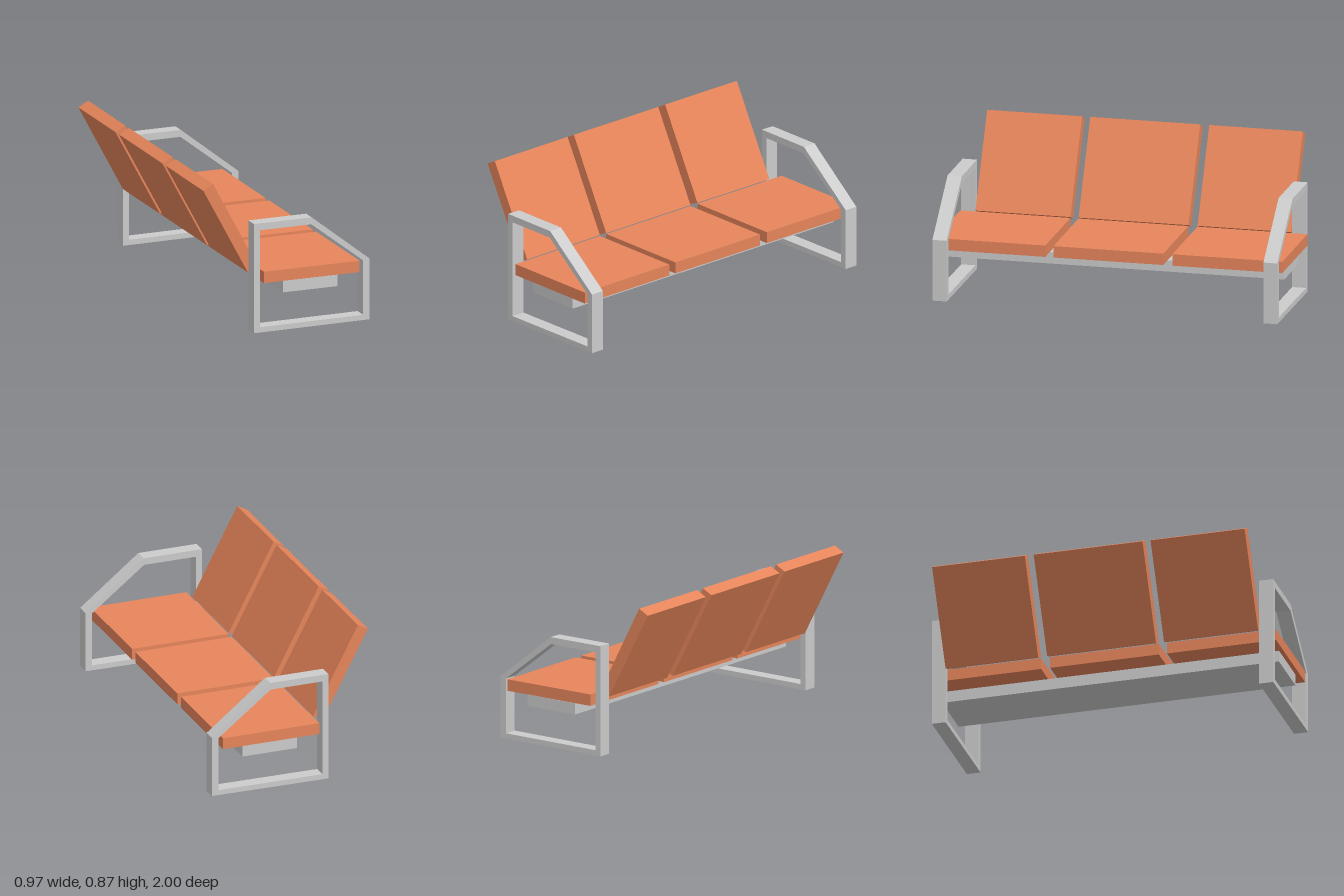
import * as THREE from 'three';

const grey = new THREE.MeshStandardMaterial({ color: 0xcccccc, flatShading: true });
const orange = new THREE.MeshStandardMaterial({ color: 0xe6855b, flatShading: true });

const points = (list) => list.map(([x, y]) => new THREE.Vector2(x, y));

// Extrudes an x/y outline, with an optional hole, from z0 to z1
function slab(name, material, z0, z1, outline, hole) {
  const shape = new THREE.Shape(points(outline));
  if (hole) shape.holes.push(new THREE.Path(points(hole)));
  const geometry = new THREE.ExtrudeGeometry(shape, { depth: z1 - z0, bevelEnabled: false });
  geometry.translate(0, 0, z0);
  const mesh = new THREE.Mesh(geometry, material);
  mesh.name = name;
  return mesh;
}

const rect = (x0, y0, x1, y1) => [[x0, y0], [x1, y0], [x1, y1], [x0, y1]];

export function createModel() {
  const bench = new THREE.Group();
  bench.name = 'bench';

  // End frames: closed loops with a sloping arm
  const frameOuter = [[-0.215, 0], [0.485, 0.004], [0.485, 0.357], [0.135, 0.635], [-0.215, 0.635]];
  const frameInner = [[-0.179, 0.031], [0.446, 0.034], [0.446, 0.35], [0.132, 0.595], [-0.179, 0.595]];
  bench.add(slab('leftEndFrame', grey, 0.918, 1, frameOuter, frameInner));
  bench.add(slab('rightEndFrame', grey, -0.986, -0.906, frameOuter, frameInner));

  // Beam under the seats
  bench.add(slab('supportBeam', grey, -0.98, 0.98, rect(-0.03, 0.212, 0.3, 0.278)));

  // Three seats; the outer backrests stop short of the frames
  const backOutline = [[-0.215, 0.33], [-0.155, 0.356], [-0.425, 0.867], [-0.485, 0.835]];
  const places = [
    { name: 'left', seat: [0.365, 1], back: [0.365, 0.912] },
    { name: 'middle', seat: [-0.315, 0.318], back: [-0.315, 0.318] },
    { name: 'right', seat: [-1, -0.367], back: [-0.906, -0.367] },
  ];
  for (const { name, seat, back } of places) {
    bench.add(slab(name + 'Seat', orange, ...seat, rect(-0.155, 0.285, 0.425, 0.351)));
    bench.add(slab(name + 'Backrest', orange, ...back, backOutline));
  }
  return bench;
}
